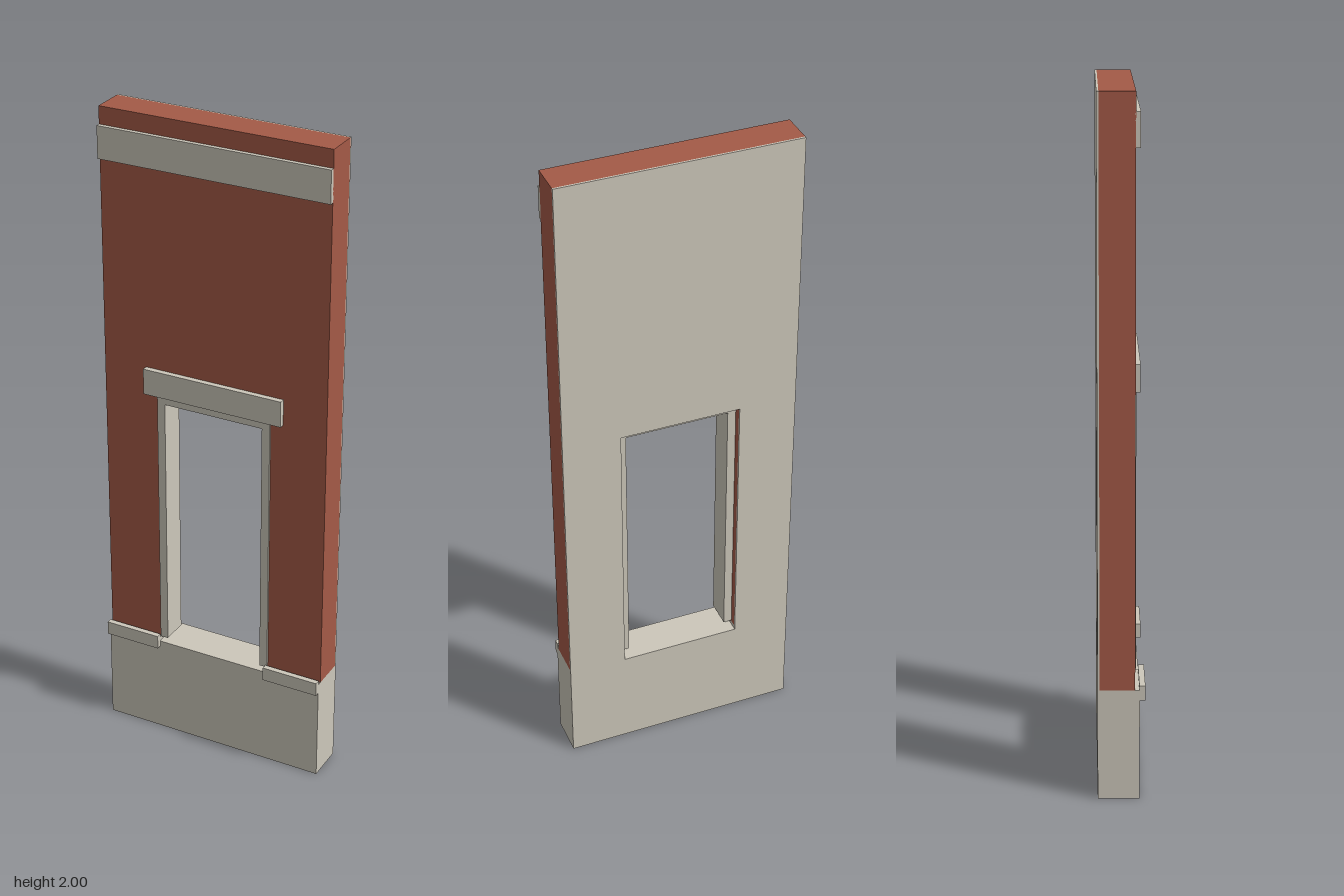
import * as THREE from 'three';

const HALF = 0.357;   // half width of the wall
const DOOR = 0.182;   // half width of the rough opening
const SILL = 0.314, HEAD = 1.156, BASE = 0.326, TOP = 2;
const BACK = -0.068, CORE = -0.062, FACE = 0.038;

export function createModel() {
  const model = new THREE.Group();
  model.name = 'wallWithDoorway';

  const brick = new THREE.MeshStandardMaterial({ color: 0xa45a47 });
  brick.name = 'brick red';
  const stone = new THREE.MeshStandardMaterial({ color: 0xccc7ba });
  stone.name = 'pale stone';

  const add = (name, geometry, material) => {
    const mesh = new THREE.Mesh(geometry, material);
    mesh.name = name;
    model.add(mesh);
  };

  // Block given by its limits on each axis
  const block = (name, material, [x0, x1], [y0, y1], [z0, z1]) => {
    const g = new THREE.BoxGeometry(x1 - x0, y1 - y0, z1 - z0);
    g.translate((x0 + x1) / 2, (y0 + y1) / 2, (z0 + z1) / 2);
    add(name, g, material);
  };

  // Outline in the wall plane, extruded from z0 to z1
  const slab = (name, material, points, z0, z1, hole) => {
    const shape = new THREE.Shape(points.map(([x, y]) => new THREE.Vector2(x, y)));
    if (hole) shape.holes.push(new THREE.Path(hole.map(([x, y]) => new THREE.Vector2(x, y))));
    const g = new THREE.ExtrudeGeometry(shape, { depth: z1 - z0, bevelEnabled: false });
    g.translate(0, 0, z0);
    add(name, g, material);
  };

  // Gate outline: a block with a notch open at the bottom
  const gate = (outer, top, inner, head, bottom) => [
    [-outer, bottom], [-inner, bottom], [-inner, head], [inner, head],
    [inner, bottom], [outer, bottom], [outer, top], [-outer, top],
  ];

  // Brick wall around the doorway
  slab('brickWall', brick, gate(HALF, TOP, DOOR, HEAD, BASE), CORE, FACE);

  // Plaster skin over the whole back
  slab('backPlaster', stone,
    [[-HALF, 0], [HALF, 0], [HALF, TOP], [-HALF, TOP]], BACK, CORE,
    [[-DOOR, SILL], [-DOOR, HEAD], [DOOR, HEAD], [DOOR, SILL]]);

  // Stone base, slightly lower under the doorway
  slab('stoneBase', stone, [
    [-HALF, 0], [HALF, 0], [HALF, BASE], [DOOR, BASE],
    [DOOR, SILL], [-DOOR, SILL], [-DOOR, BASE], [-HALF, BASE],
  ], CORE, 0.051);

  // Door frame, set forward in the opening
  slab('doorFrame', stone, gate(DOOR, HEAD, 0.157, 1.13, 0.328), -0.04, 0.044);

  // Lintel and upper band
  block('lintel', stone, [-0.221, 0.221], [1.155, 1.235], [FACE - 0.002, 0.055]);
  block('upperBand', stone, [-HALF, HALF], [1.85, 1.947], [FACE - 0.002, 0.051]);

  // Ledges capping the base on both sides of the doorway
  block('leftLedge', stone, [0.18, HALF], [0.296, 0.339], [0.05, 0.067]);
  block('rightLedge', stone, [-HALF, -0.18], [0.296, 0.339], [0.05, 0.067]);

  return model;
}
